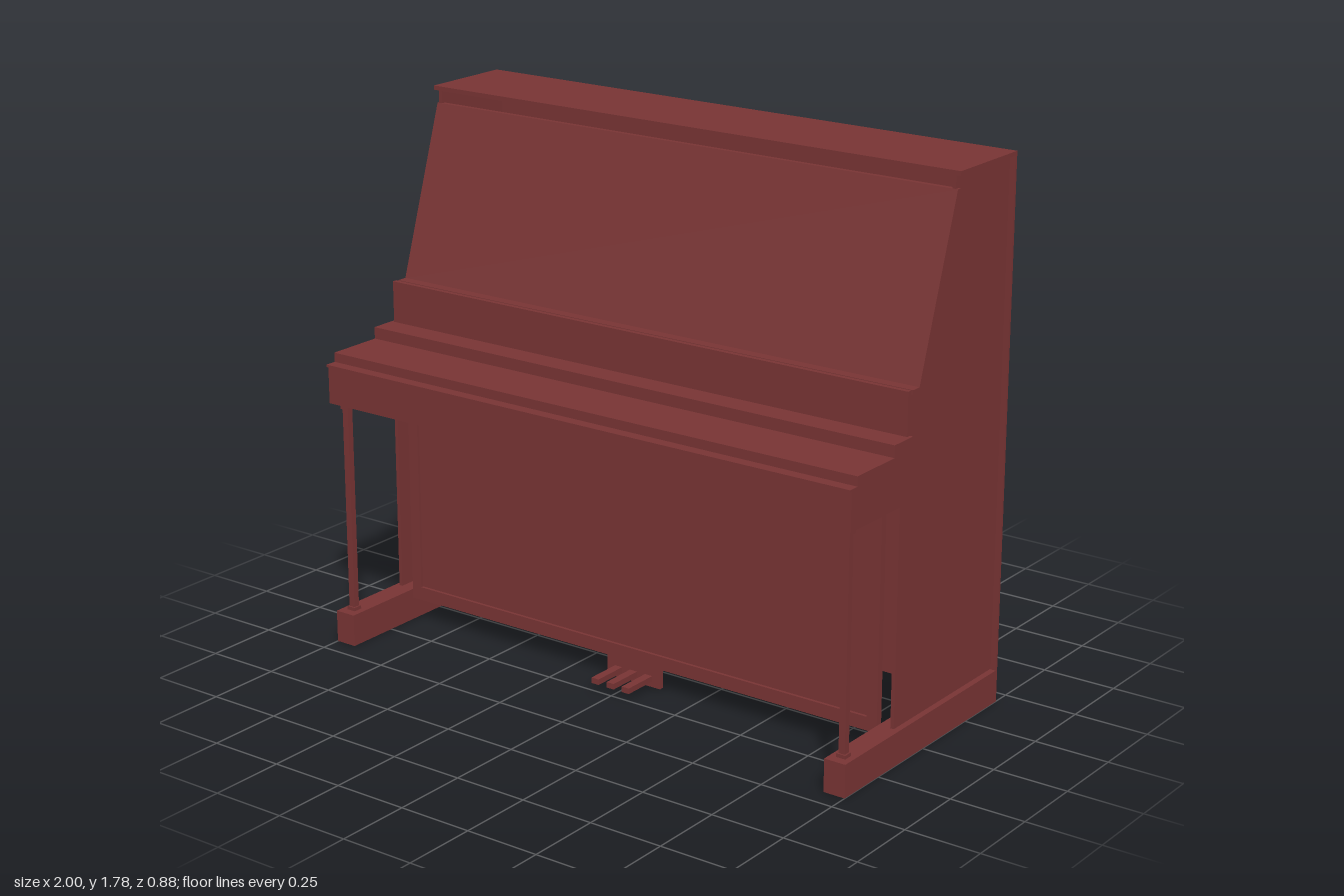
import * as THREE from 'three';

export function createModel() {
  const piano = new THREE.Group();
  piano.name = 'uprightPiano';
  const wood = new THREE.MeshStandardMaterial({ color: 0x783434 });
  wood.name = 'mahogany';

  const add = (name, geometry) => {
    const mesh = new THREE.Mesh(geometry, wood);
    mesh.name = name;
    piano.add(mesh);
    return mesh;
  };
  // Box given by its extents on each axis
  const box = (name, [x0, x1], [y0, y1], [z0, z1]) =>
    add(name, new THREE.BoxGeometry(x1 - x0, y1 - y0, z1 - z0))
      .position.set((x0 + x1) / 2, (y0 + y1) / 2, (z0 + z1) / 2);
  // Outline of [z, y] points extruded along x
  const profile = (name, points, x0, x1) => {
    const shape = new THREE.Shape(points.map(([z, y]) => new THREE.Vector2(-z, y)));
    const geometry = new THREE.ExtrudeGeometry(shape, { depth: x1 - x0, bevelEnabled: false });
    geometry.rotateY(Math.PI / 2).translate(x0, 0, 0);
    return add(name, geometry);
  };
  const rect = (path, x, y0, y1) =>
    path.moveTo(-x, y0).lineTo(x, y0).lineTo(x, y1).lineTo(-x, y1).closePath();

  // Case
  box('backPanel', [-1, 1], [0, 1.762], [-0.44, -0.43]);
  box('topLid', [-1, 1], [1.762, 1.776], [-0.44, -0.118]);
  const side = [[-0.43, 0.11], [0.14, 0.11], [0.14, 0.83], [0.105, 0.83], [0.105, 1.153],
    [0.045, 1.153], [-0.137, 1.72], [-0.122, 1.72], [-0.122, 1.762], [-0.43, 1.762]];
  profile('leftSide', side, 0.97, 0.982);
  profile('rightSide', side, -0.982, -0.97);

  // Sloping music panel, leaving an opening below the lid
  profile('upperPanel', [[0.06, 1.165], [-0.122, 1.72], [-0.137, 1.72], [0.045, 1.165]], -0.989, 0.989);
  // Narrow shelf and fascia with a slot between them
  box('shelf', [-0.989, 0.989], [1.153, 1.166], [0.045, 0.095]);
  box('fascia', [-0.989, 0.989], [0.83, 1.168], [0.105, 0.121]);

  // Lower front with a recessed field, clear of the floor
  const frame = rect(new THREE.Shape(), 0.922, 0.08, 0.82);
  frame.holes.push(rect(new THREE.Path(), 0.885, 0.125, 0.78));
  add('lowerFrame', new THREE.ExtrudeGeometry(frame, { depth: 0.025, bevelEnabled: false }))
    .position.z = 0.115;
  box('lowerPanel', [-0.885, 0.885], [0.125, 0.78], [0.115, 0.13]);

  // Key bed and closed, stepped key lid
  box('keyBed', [-1, 1], [0.828, 0.952], [0.106, 0.43]);
  box('keySlip', [-1, 1], [0.952, 0.96], [0.106, 0.438]);
  box('keyLid', [-1, 1], [0.96, 0.991], [0.106, 0.4]);
  box('lidRear', [-1, 1], [0.991, 1.03], [0.106, 0.205]);

  // Feet and front posts
  for (const s of [-1, 1]) {
    const span = (a, b) => (s > 0 ? [a, b] : [-b, -a]);
    box('foot', span(0.926, 1), [0, 0.108], [-0.43, 0.432]);
    box('post', span(0.953, 0.975), [0.108, 0.83], [0.375, 0.397]);
    box('postCapital', span(0.948, 0.98), [0.805, 0.83], [0.37, 0.402]);
    box('postBase', span(0.948, 0.98), [0.108, 0.12], [0.37, 0.402]);
  }

  // Pedals on a plate hung below the lower front
  box('pedalPlate', [-0.105, 0.105], [0.008, 0.08], [0.115, 0.132]);
  for (const x of [-0.06, 0, 0.06])
    box('pedal', [x - 0.014, x + 0.014], [0.027, 0.046], [0.085, 0.255]);

  return piano;
}
